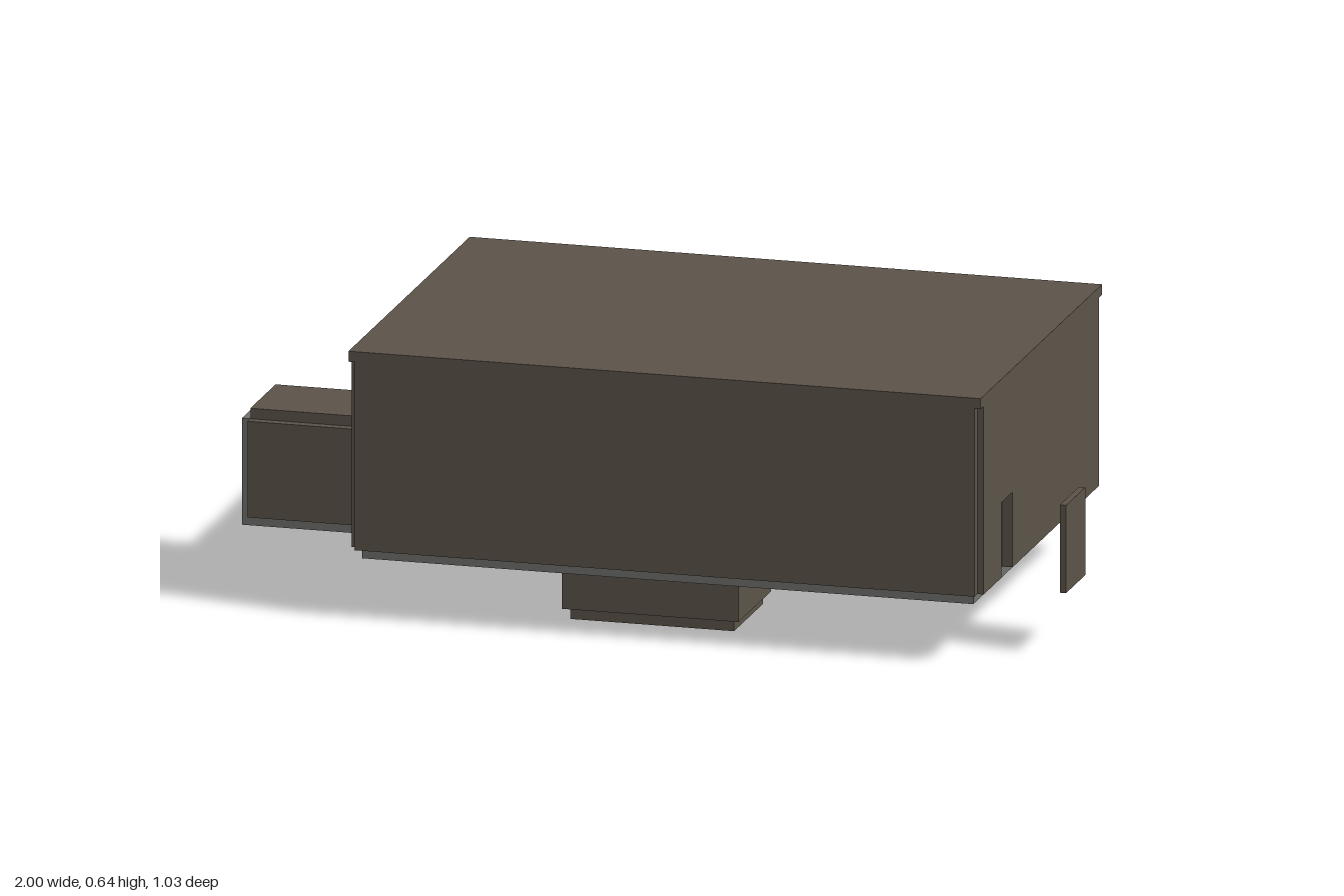
import * as THREE from 'three';

const brown = new THREE.MeshStandardMaterial({ color: 0x5d544a });
brown.name = 'brown cladding';
const grey = new THREE.MeshStandardMaterial({ color: 0x70726f });
grey.name = 'grey lining';

// Box given by its limits along each axis
function slab(name, [x0, x1], [y0, y1], [z0, z1], material = brown) {
  const mesh = new THREE.Mesh(new THREE.BoxGeometry(x1 - x0, y1 - y0, z1 - z0), material);
  mesh.position.set((x0 + x1) / 2, (y0 + y1) / 2, (z0 + z1) / 2);
  mesh.name = name;
  return mesh;
}

// Main block: grey core clad with plates that stop short at the corners
function mainBlock() {
  const g = new THREE.Group();
  g.name = 'mainBlock';
  g.add(slab('core', [-0.655, 0.81], [0.14, 0.615], [-0.49, 0.49], grey));
  g.add(slab('roof', [-0.68, 0.835], [0.615, 0.64], [-0.515, 0.515]));
  g.add(slab('frontWall', [-0.665, 0.82], [0.165, 0.615], [0.49, 0.515]));
  g.add(slab('backWall', [-0.665, 0.82], [0.165, 0.615], [-0.515, -0.49]));
  g.add(slab('rightWall', [-0.68, -0.655], [0.165, 0.615], [-0.49, 0.49]));

  // Wall with a doorway notched into its lower edge (outline in -z, y)
  const outline = [
    [-0.49, 0.165], [-0.34, 0.165], [-0.34, 0.345], [-0.245, 0.345],
    [-0.245, 0.165], [0.49, 0.165], [0.49, 0.615], [-0.49, 0.615],
  ].map(([u, v]) => new THREE.Vector2(u, v));
  const geo = new THREE.ExtrudeGeometry(new THREE.Shape(outline), { depth: 0.025, bevelEnabled: false });
  geo.rotateY(Math.PI / 2);
  const wall = new THREE.Mesh(geo, brown);
  wall.position.x = 0.81;
  wall.name = 'doorwayWall';
  g.add(wall);
  return g;
}

// Side passage: core reaches past its cladding at the outer end
function passage() {
  const g = new THREE.Group();
  g.name = 'passage';
  g.add(slab('passageCore', [-1, -0.655], [0.14, 0.395], [0.07, 0.285], grey));
  g.add(slab('passageRoof', [-0.98, -0.68], [0.395, 0.42], [0.07, 0.285]));
  g.add(slab('passageFrontWall', [-0.98, -0.68], [0.165, 0.395], [0.285, 0.308]));
  g.add(slab('passageBackWall', [-0.98, -0.68], [0.165, 0.395], [0.047, 0.07]));
  return g;
}

// Shallow pit hanging below the floor
function pit() {
  const g = new THREE.Group();
  g.name = 'pit';
  g.add(slab('pitWalls', [-0.203, 0.22], [0.027, 0.14], [0.115, 0.392]));
  g.add(slab('pitBase', [-0.187, 0.205], [0, 0.027], [0.132, 0.377]));
  return g;
}

export function createModel() {
  const model = new THREE.Group();
  model.name = 'building';
  model.add(mainBlock(), passage(), pit());
  // Door panel standing clear of its doorway
  model.add(slab('door', [0.985, 1], [0.15, 0.36], [0.212, 0.375]));
  return model;
}
